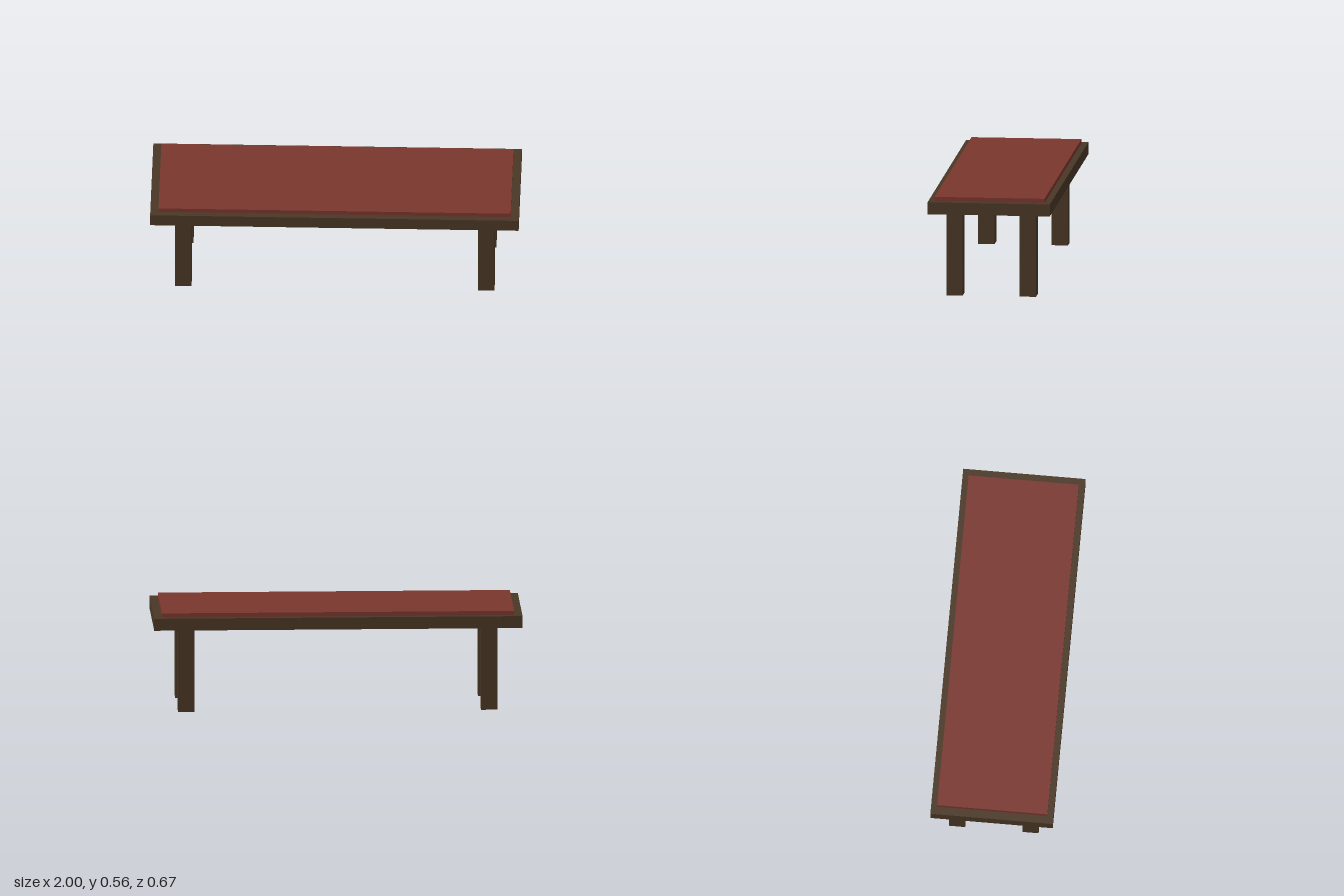
import * as THREE from 'three';

export function createModel() {
  const model = new THREE.Group();
  model.name = 'bench';

  const wood = new THREE.MeshStandardMaterial({ color: 0x4a3725 });
  wood.name = 'dark wood';
  const fabric = new THREE.MeshStandardMaterial({ color: 0x7a362e });
  fabric.name = 'red fabric';

  // Box placed by its centre in x and z and by its underside in y
  function addBox(name, material, [w, h, d], [x, bottom, z]) {
    const mesh = new THREE.Mesh(new THREE.BoxGeometry(w, h, d), material);
    mesh.name = name;
    mesh.position.set(x, bottom + h / 2, z);
    model.add(mesh);
  }

  // Plank seat with a thin pad on top
  addBox('seat', wood, [2, 0.066, 0.667], [0, 0.467, 0]);
  addBox('seatPad', fabric, [1.911, 0.023, 0.6], [0, 0.533, 0]);

  // Four square legs
  for (const [side, x] of [['Left', 0.822], ['Right', -0.822]]) {
    for (const [end, z] of [['front', 0.2], ['back', -0.2]]) {
      addBox(`${end}${side}Leg`, wood, [0.089, 0.467, 0.089], [x, 0, z]);
    }
  }

  return model;
}
